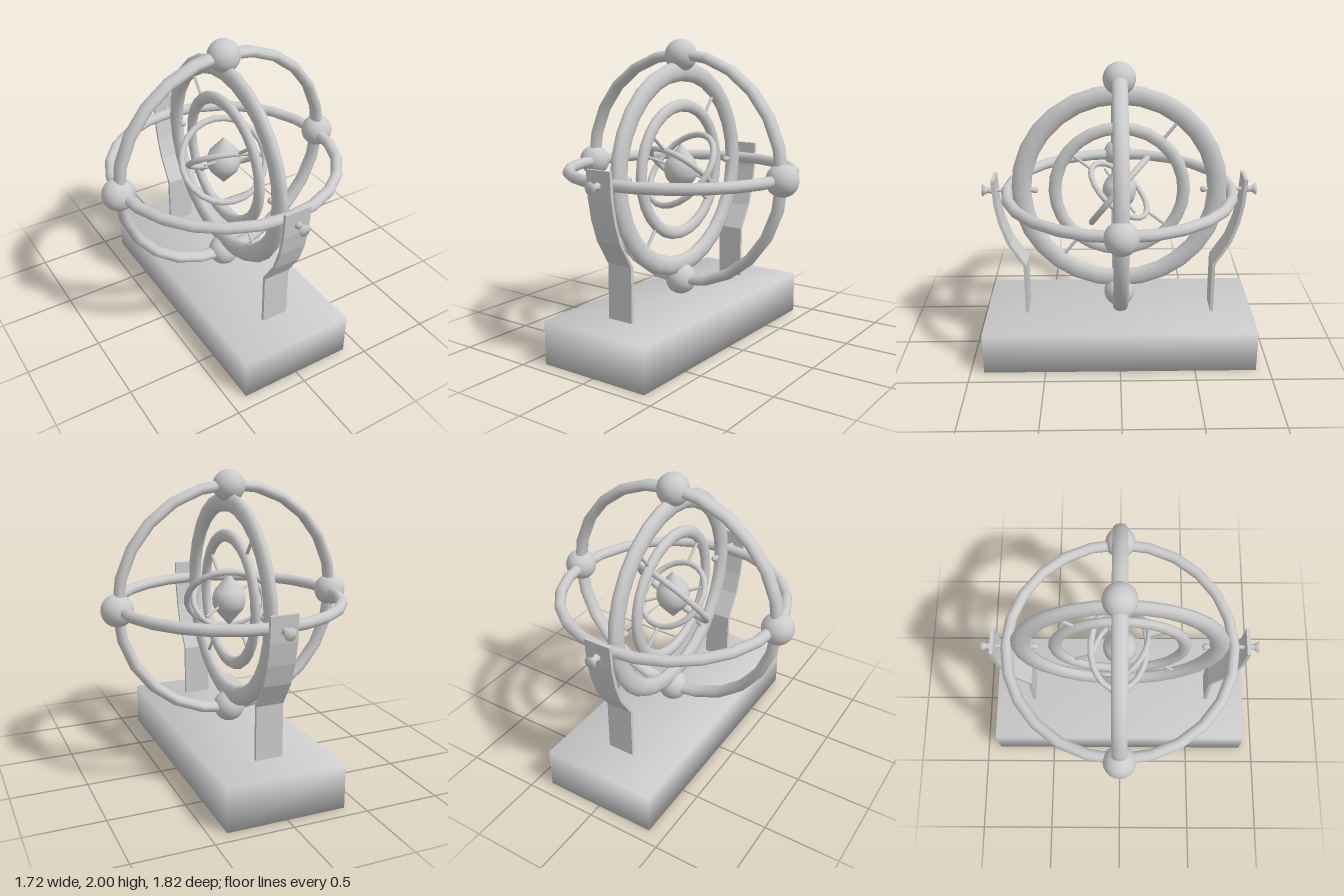
import * as THREE from 'three';
import { mergeVertices } from 'three/addons/utils/BufferGeometryUtils.js';

const MAT = new THREE.MeshStandardMaterial({ color: 0xcccccc });
const CY = 1.15; // height of the common centre
const X = new THREE.Vector3(1, 0, 0);
const Y = new THREE.Vector3(0, 1, 0);
const Z = new THREE.Vector3(0, 0, 1);
// the two slanted pivot axes in the yz plane
const backAxis = new THREE.Vector3(0, 0.78, -0.63).normalize();
const frontAxis = new THREE.Vector3(0, 0.63, 0.78).normalize();

function add(parent, name, geometry) {
  const mesh = new THREE.Mesh(geometry, MAT);
  mesh.name = name;
  parent.add(mesh);
  return mesh;
}

// ring with an oval section, facing along the given normal
function ring(parent, name, radius, radial, axial, normal, segments = 24) {
  const geo = new THREE.TorusGeometry(radius, radial, 10, segments);
  geo.scale(1, 1, axial / radial);
  geo.computeVertexNormals();
  const mesh = add(parent, name, mergeSeam(geo));
  mesh.quaternion.setFromUnitVectors(Z, normal);
}

// weld vertices so that shading runs smoothly across edges
function mergeSeam(geo) {
  geo.deleteAttribute('normal');
  geo.deleteAttribute('uv');
  const welded = mergeVertices(geo, 1e-4);
  welded.computeVertexNormals();
  return welded;
}

// thin rods on both sides of the centre, along an axis
function rodPair(parent, name, axis, from, to, radius) {
  for (const side of [1, -1]) {
    const rod = add(parent, name, new THREE.CylinderGeometry(radius, radius, to - from, 8));
    rod.quaternion.setFromUnitVectors(Y, axis);
    rod.position.copy(axis).multiplyScalar(side * (from + to) / 2);
  }
}

// bent strip holding the rings, with its pivot screw
function makeSupport() {
  const support = new THREE.Group();
  support.name = 'support';
  const path = [[0.635, 0.27], [0.635, 0.64], [0.735, 0.8], [0.783, 0.94], [0.81, 1.08], [0.82, 1.25]];
  const t = 0.011;
  const shape = new THREE.Shape([
    ...path.map(([z, y]) => new THREE.Vector2(z + t, y)),
    ...path.slice().reverse().map(([z, y]) => new THREE.Vector2(z - t, y)),
  ]);
  const geo = new THREE.ExtrudeGeometry(shape, { depth: 0.18, bevelEnabled: false });
  geo.rotateY(-Math.PI / 2).translate(0.09, 0, 0);
  add(support, 'supportStrip', geo);

  const profile = [[0, 0.53], [0.02, 0.54], [0.02, 0.56], [0.013, 0.58], [0.013, 0.835],
    [0.026, 0.835], [0.018, 0.86], [0.022, 0.875], [0.04, 0.9], [0, 0.9]];
  const screw = new THREE.LatheGeometry(profile.map(([r, y]) => new THREE.Vector2(r, y)), 16);
  screw.rotateX(Math.PI / 2);
  add(support, 'pivotScrew', screw).position.y = CY + 0.005;
  return support;
}

export function createModel() {
  const model = new THREE.Group();
  model.name = 'gyroscopeRings';

  // base block
  const base = mergeSeam(new THREE.BoxGeometry(0.78, 0.285, 1.82));
  add(model, 'base', base).position.y = 0.1425;

  // front and back supports
  for (const angle of [0, Math.PI]) {
    const support = makeSupport();
    support.rotation.y = angle;
    model.add(support);
  }

  const rings = new THREE.Group();
  rings.name = 'rings';
  rings.position.y = CY;
  model.add(rings);

  // outer cage
  ring(rings, 'uprightRing', 0.755, 0.036, 0.05, Z);
  ring(rings, 'levelRing', 0.74, 0.037, 0.037, Y);
  for (const [x, y] of [[0.757, 0], [-0.757, 0], [0, 0.746], [0, -0.746]]) {
    add(rings, 'ball', new THREE.SphereGeometry(0.105, 20, 14)).position.set(x, y, 0);
  }

  // nested side-facing rings and their rods
  ring(rings, 'largeInnerRing', 0.645, 0.065, 0.04, X, 28);
  ring(rings, 'middleInnerRing', 0.424, 0.042, 0.03, X, 28);
  rodPair(rings, 'outerRod', backAxis, 0.45, 0.6, 0.011);
  rodPair(rings, 'middleRod', frontAxis, 0.23, 0.4, 0.011);

  // two small tilted rings
  const tilt = (axis, a) => axis.clone().multiplyScalar(Math.cos(a)).addScaledVector(X, Math.sin(a));
  ring(rings, 'smallRing', 0.278, 0.021, 0.021, tilt(frontAxis, -0.26));
  ring(rings, 'smallestRing', 0.234, 0.019, 0.019, tilt(backAxis, 0.2));
  rodPair(rings, 'coreRod', new THREE.Vector3(0.85, -0.33, -0.4).normalize(), 0.07, 0.232, 0.009);

  // pointed core
  const core = [[0, -0.175], [0.095, -0.065], [0.108, -0.03], [0.111, 0], [0.108, 0.03], [0.095, 0.065], [0, 0.175]];
  add(rings, 'core', new THREE.LatheGeometry(core.map(([r, y]) => new THREE.Vector2(r, y)), 20));

  return model;
}
